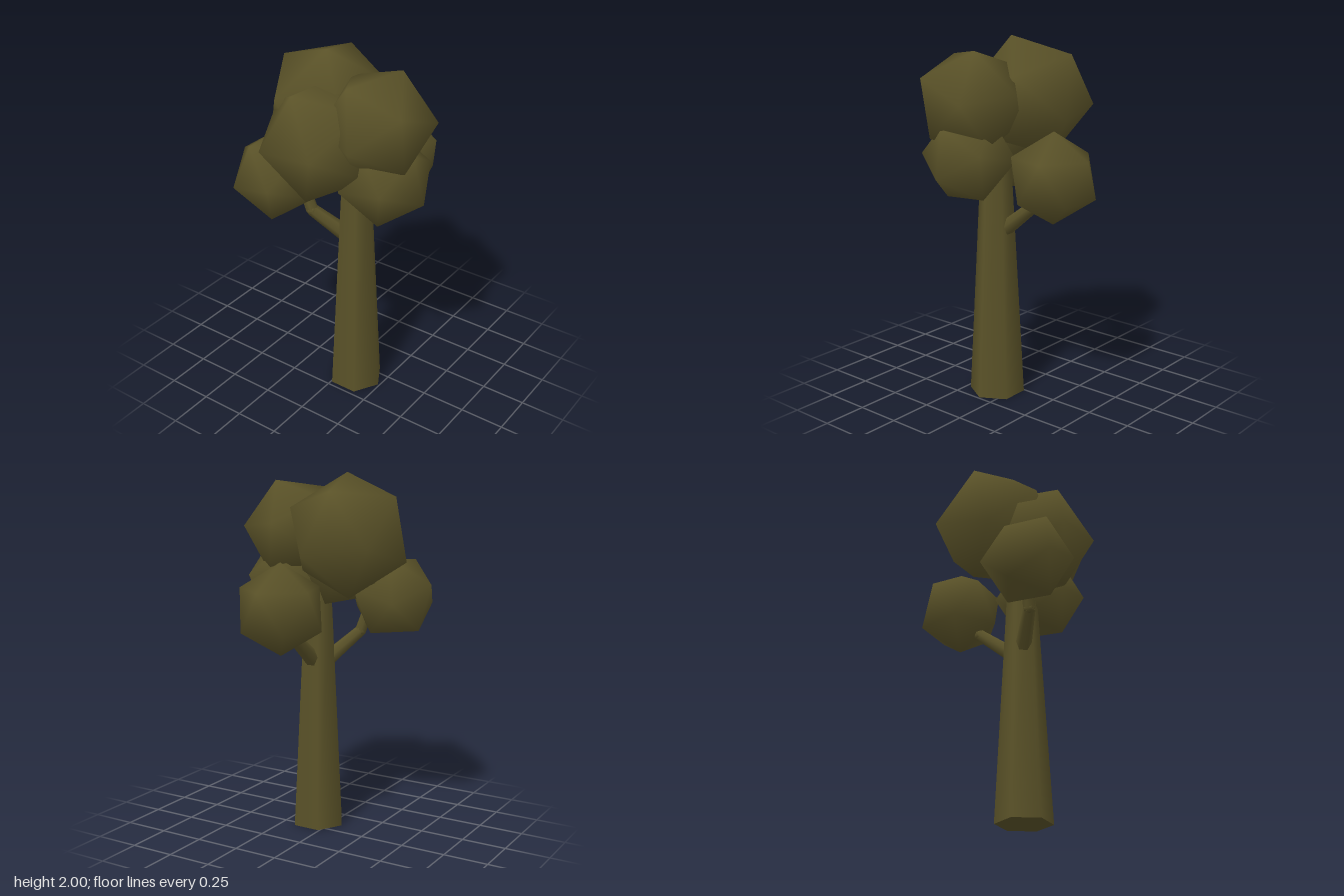
import * as THREE from 'three';
import { mergeVertices } from 'three/addons/utils/BufferGeometryUtils.js';

const V = (a) => new THREE.Vector3(...a);

// Orthonormal frame whose y axis is p, with q lying in the x-y plane
function frame(p, q) {
  const y = p.clone().normalize();
  const z = q.clone().cross(y).normalize();
  const x = y.clone().cross(z);
  return new THREE.Matrix4().makeBasis(x, y, z);
}

// Smooth-shaded icosahedron, turned so two neighbouring corners point along p and q
function clumpGeometry(radius, p, q) {
  let g = new THREE.IcosahedronGeometry(radius, 0);
  g.deleteAttribute('normal');
  g.deleteAttribute('uv');
  g = mergeVertices(g, 1e-4);
  const t = (1 + Math.sqrt(5)) / 2;
  const from = frame(V([-1, t, 0]), V([1, t, 0]));
  g.applyMatrix4(frame(V(p), V(q)).multiply(from.invert()));
  g.computeVertexNormals();
  return g;
}

// Six-sided tapered limb between two points
function limb(a, b, ra, rb, material) {
  const dir = b.clone().sub(a);
  const mesh = new THREE.Mesh(new THREE.CylinderGeometry(rb, ra, dir.length(), 6), material);
  mesh.position.copy(a).add(b).multiplyScalar(0.5);
  mesh.quaternion.setFromUnitVectors(V([0, 1, 0]), dir.normalize());
  return mesh;
}

export function createModel() {
  const tree = new THREE.Group();
  tree.name = 'tree';
  const olive = new THREE.MeshStandardMaterial({ color: 0x5a5228 });
  olive.name = 'olive';

  // Trunk
  const trunk = limb(V([-0.09, 0, 0.085]), V([-0.09, 1.36, 0.085]), 0.155, 0.083, olive);
  trunk.name = 'trunk';
  tree.add(trunk);

  // Branches, each a bent chain of limbs: [x, y, z, radius]
  const branches = {
    leftBranch: [[-0.03, 0.965, 0.08, 0.045], [0.17, 1.125, 0.08, 0.035], [0.28, 1.25, 0.08, 0.03]],
    backBranch: [[-0.12, 0.97, 0.03, 0.045], [-0.225, 1.12, -0.11, 0.034], [-0.24, 1.3, -0.17, 0.03]],
  };
  for (const [name, pts] of Object.entries(branches)) {
    const branch = new THREE.Group();
    branch.name = name;
    for (let i = 0; i < pts.length - 1; i++) {
      const [a, b] = [pts[i], pts[i + 1]];
      const part = limb(V(a.slice(0, 3)), V(b.slice(0, 3)), a[3], b[3], olive);
      part.name = 'branchSegment';
      branch.add(part);
    }
    // Rounded elbow at the bend
    const elbow = new THREE.Mesh(new THREE.SphereGeometry(pts[1][3] * 0.98, 8, 6), olive);
    elbow.name = 'branchElbow';
    elbow.position.set(...pts[1].slice(0, 3));
    branch.add(elbow);
    tree.add(branch);
  }

  // Leaf clumps: centre, radius and two neighbouring corner directions
  const clumps = [
    ['crownClump', [-0.025, 1.67, -0.14], 0.345, [-0.095, 0.33, 0.06], [0.255, 0.235, -0.03]],
    ['frontUpperClump', [-0.124, 1.677, 0.24], 0.3, [0.095, 0.272, 0.08], [0.295, 0.05, -0.02]],
    ['frontLowerClump', [-0.113, 1.386, 0.277], 0.258, [-0.007, -0.086, 0.243], [-0.117, -0.221, 0.043]],
    ['rightUpperClump', [-0.227, 1.56, -0.033], 0.334, [-0.298, 0.02, 0.143], [-0.183, 0.27, -0.047]],
    ['backLowerClump', [-0.293, 1.319, -0.278], 0.25, [-0.227, 0.01, 0.108], [-0.117, -0.22, 0.04]],
    ['leftClump', [0.3, 1.295, 0.08], 0.248, [0, 1, 0], [1, 0.5, 0]],
  ];
  for (const [name, centre, radius, p, q] of clumps) {
    const clump = new THREE.Mesh(clumpGeometry(radius, p, q), olive);
    clump.name = name;
    clump.position.set(...centre);
    tree.add(clump);
  }
  return tree;
}
